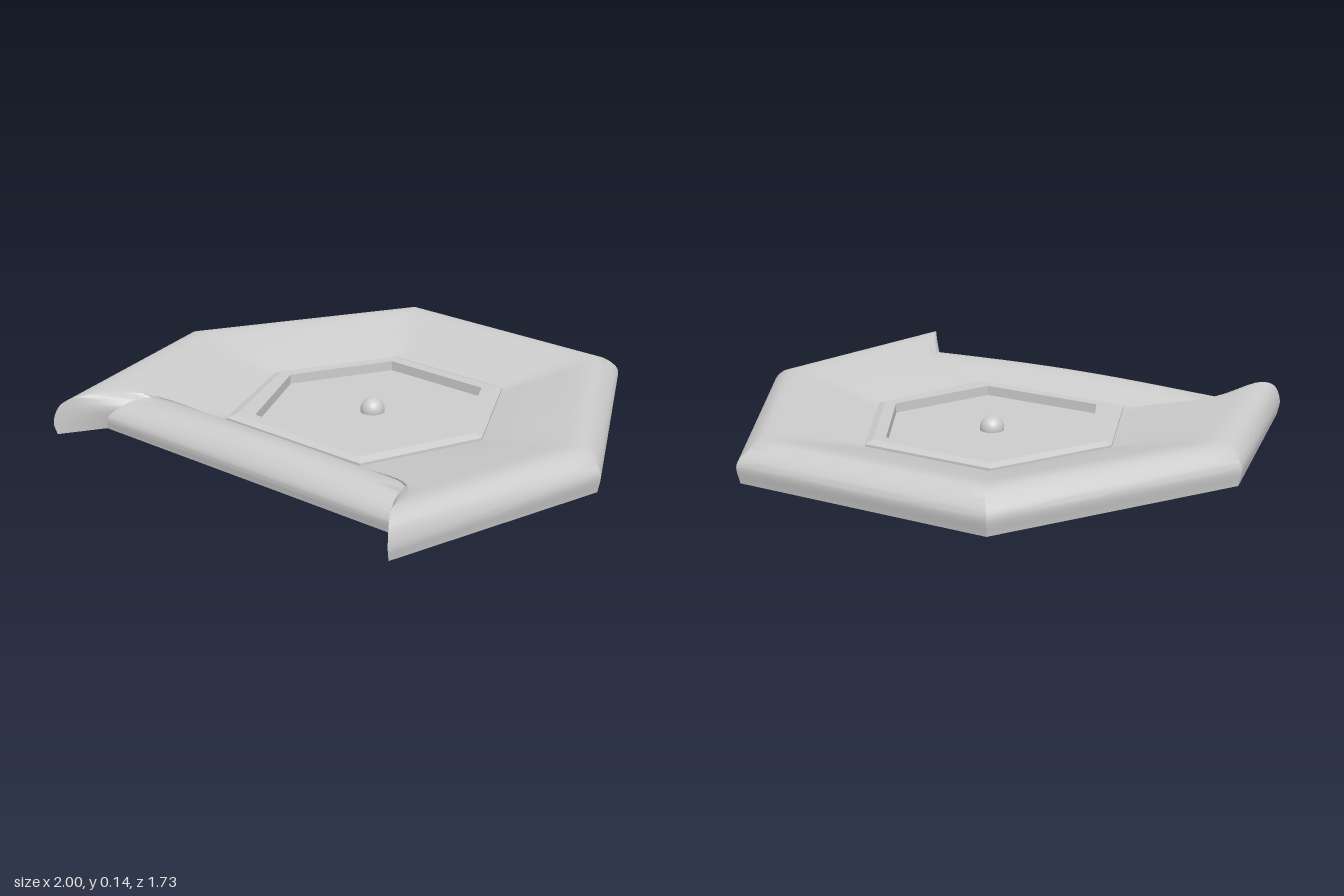
import * as THREE from 'three';
import { toCreasedNormals } from 'three/addons/utils/BufferGeometryUtils.js';

const material = new THREE.MeshStandardMaterial({ color: 0xcccccc, side: THREE.DoubleSide });

// Turns half a ring (back to front, +x side) into a closed ring of corners.
function mirrorRing(half) {
  const right = half.map((p) => new THREE.Vector3(...p));
  const left = right.map((p) => new THREE.Vector3(-p.x, p.y, p.z)).reverse();
  return [...right, ...left];
}

// Skins rings of equal length, with creased normals.
function skin(rings, crease) {
  const n = rings[0].length;
  const index = [];
  for (let r = 0; r < rings.length - 1; r++) {
    for (let i = 0; i < n; i++) {
      const a = r * n + i, b = r * n + (i + 1) % n;
      index.push(a, a + n, b, b, a + n, b + n);
    }
  }
  const geometry = new THREE.BufferGeometry().setFromPoints(rings.flat());
  geometry.setIndex(index);
  return toCreasedNormals(geometry, crease);
}

// Splits every side of a ring; the front side (index 3) can bow upwards.
function subdivide(ring, steps, bow) {
  return ring.flatMap((p, i) => {
    const q = ring[(i + 1) % ring.length];
    return Array.from({ length: steps }, (_, k) => {
      const v = p.clone().lerp(q, k / steps);
      if (i === 3) v.y += bow * Math.sin(Math.PI * k / steps);
      return v;
    });
  });
}

function shellGeometry() {
  // corners per ring: back, side, prong tip, notch
  const rings = [
    [[0.495, 0, -0.856], [0.99, 0, 0], [0.785, 0, 0.85], [0.69, 0, 0.695]],
    [[0.5, 0.07, -0.866], [1, 0.07, 0], [0.79, 0.05, 0.86], [0.68, 0.045, 0.7]],
    [[0.475, 0.116, -0.83], [0.966, 0.116, 0], [0.775, 0.112, 0.838], [0.65, 0.082, 0.67]],
    [[0.45, 0.139, -0.78], [0.91, 0.139, 0], [0.74, 0.137, 0.785], [0.63, 0.1, 0.62]],
    [[0.36, 0.105, -0.61], [0.7, 0.105, 0], [0.63, 0.115, 0.57], [0.6, 0.1, 0.55]],
    [[0.26, 0.055, -0.44], [0.5, 0.055, 0], [0.32, 0.055, 0.45], [0.31, 0.055, 0.45]],
  ];
  const bows = [0, 0, 0.008, 0.018, 0.012, 0];
  const keys = rings.map((r, i) => subdivide(mirrorRing(r), 12, bows[i]));

  // smooth profile through the key rings at every station round the shell
  const rows = 30;
  const profiles = keys[0].map((_, i) =>
    new THREE.CatmullRomCurve3(keys.map((ring) => ring[i]), false, 'centripetal').getPoints(rows));
  const fine = Array.from({ length: rows + 1 }, (_, r) => profiles.map((p) => p[r]));
  return skin(fine, 0.6);
}

// Six-sided ring: back, side and front corners at height y.
const hexRing = (y, back, backZ, side, front, frontZ) =>
  mirrorRing([[back, y, backZ], [side, y, 0], [front, y, frontZ]]);

export function createModel() {
  const group = new THREE.Group();
  const add = (geometry, name) => {
    const mesh = new THREE.Mesh(geometry, material);
    mesh.name = name;
    group.add(mesh);
    return mesh;
  };

  // hollow dished tile with rounded rim and two front prongs
  add(shellGeometry(), 'dishedShell');

  // bevelled frame dropping to the recessed floor
  const floorRing = hexRing(0.038, 0.22, -0.365, 0.42, 0.24, 0.38);
  add(skin([
    hexRing(0.052, 0.26, -0.44, 0.5, 0.32, 0.45),
    hexRing(0.064, 0.26, -0.44, 0.5, 0.32, 0.45),
    hexRing(0.075, 0.245, -0.41, 0.47, 0.295, 0.425),
    hexRing(0.075, 0.22, -0.365, 0.42, 0.24, 0.38),
    floorRing,
  ], 0.2), 'hexFrame');

  // recessed floor
  const floorShape = new THREE.Shape(floorRing.map((p) => new THREE.Vector2(p.x, -p.z)));
  const floor = add(new THREE.ShapeGeometry(floorShape), 'recessFloor');
  floor.rotation.x = -Math.PI / 2;
  floor.position.y = 0.038;

  // small ball in the middle of the floor
  const ball = add(new THREE.SphereGeometry(0.045, 32, 20), 'centreBall');
  ball.position.set(0, 0.046, 0.008);

  return group;
}
